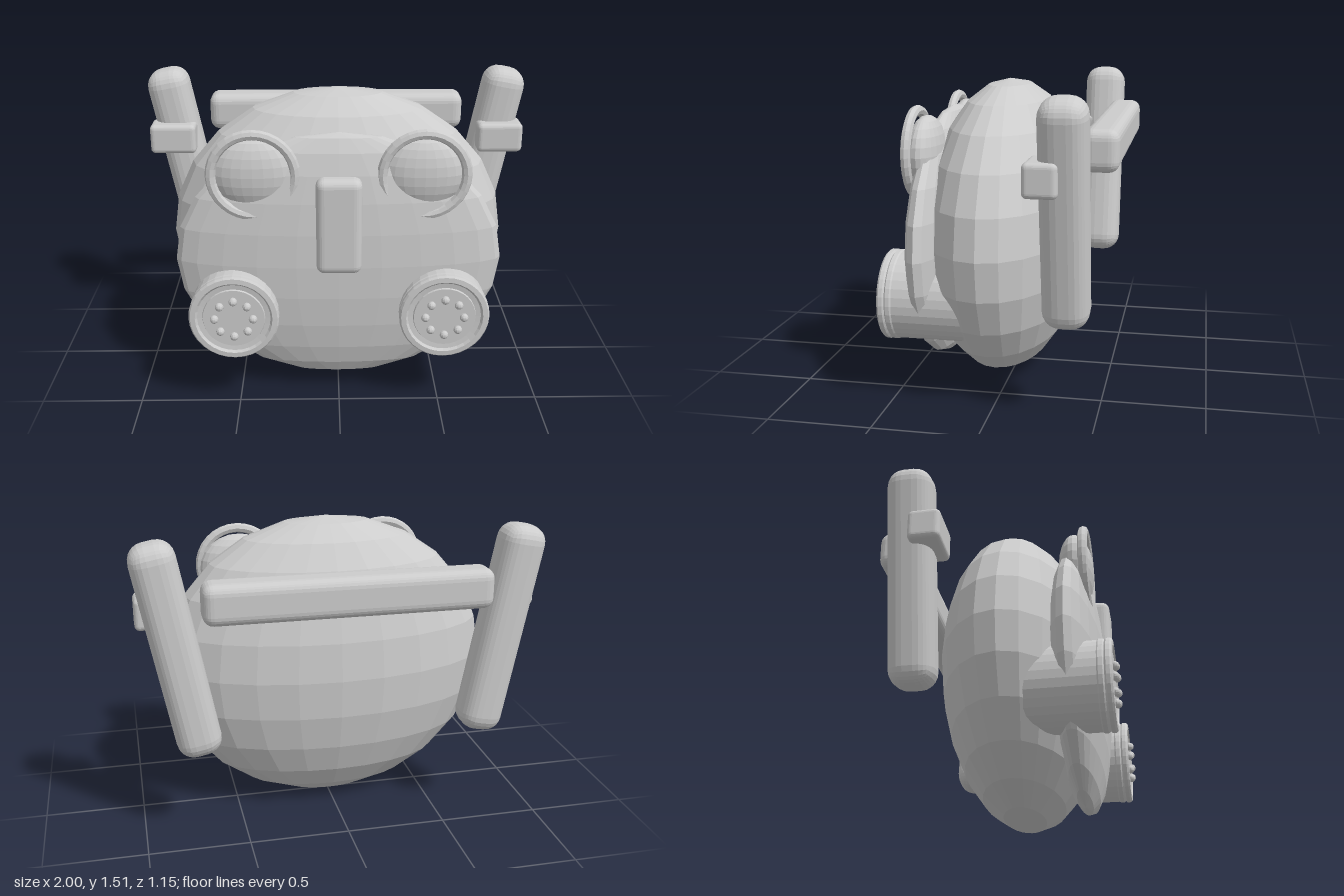
import * as THREE from 'three';
import { RoundedBoxGeometry } from 'three/addons/geometries/RoundedBoxGeometry.js';

export function createModel() {
  const model = new THREE.Group();
  const grey = new THREE.MeshStandardMaterial({ color: 0xcccccc, flatShading: true });
  grey.name = 'lightGrey';

  function add(name, geometry, x, y, z, parent = model) {
    const mesh = new THREE.Mesh(geometry, grey);
    mesh.name = name;
    mesh.position.set(x, y, z);
    parent.add(mesh);
    return mesh;
  }
  const ellipsoid = (rx, ry, rz, w = 24, h = 12) =>
    new THREE.SphereGeometry(1, w, h).scale(rx, ry, rz);
  const box = (w, h, d, r) => new RoundedBoxGeometry(w, h, d, 3, r);

  // Flattened body, thin face plate and nose bar
  add('body', ellipsoid(0.843, 0.755, 0.4), 0, 0.756, 0.045);
  add('facePlate', ellipsoid(0.8, 0.645, 0.138), 0, 0.725, 0.345);
  add('nose', box(0.22, 0.48, 0.12, 0.04), 0, 0.94, 0.45);

  // Stepped profile of a round pod: radius, then depth along its axis
  const podProfile = [
    [0, 0.1], [0.214, 0.1], [0.214, 0.48], [0.219, 0.487], [0.219, 0.507],
    [0.212, 0.514], [0.22, 0.522], [0.22, 0.54], [0.212, 0.55], [0.188, 0.552],
    [0.178, 0.54], [0.153, 0.537], [0.15, 0.546], [0, 0.546],
  ].map(([r, d]) => new THREE.Vector2(r, d));

  for (const s of [1, -1]) {
    const side = s > 0 ? 'left' : 'right';

    // Eye with its rim partly sunk into the plate
    add(side + 'Eye', ellipsoid(0.205, 0.18, 0.087), s * 0.405, 1.18, 0.376);
    add(side + 'EyeRim', new THREE.TorusGeometry(0.2, 0.025, 8, 32), s * 0.405, 1.182, 0.425);

    // Round pod with a ring of studs
    const pod = new THREE.Group();
    pod.name = side + 'Pod';
    pod.position.set(s * 0.512, 0.492, 0);
    model.add(pod);
    add('podShell', new THREE.LatheGeometry(podProfile, 32).rotateX(Math.PI / 2), 0, 0, 0, pod);
    for (let i = 0; i < 8; i++) {
      const a = (i / 8) * Math.PI * 2;
      add('stud', new THREE.SphereGeometry(0.021, 10, 8),
        0.094 * Math.cos(a), 0.094 * Math.sin(a), 0.554, pod);
    }

    // Leaning side post with its clip
    const post = add(side + 'Post', box(0.22, 1.075, 0.22, 0.085), s * 0.805, 0.98, -0.355);
    post.rotation.z = -s * 0.19;
    add(side + 'Clip', box(0.24, 0.155, 0.155, 0.025), s * 0.867, 1.162, -0.267);
  }

  // Cross bar behind the posts
  add('crossBar', box(1.38, 0.195, 0.17, 0.05), 0, 1.247, -0.49);

  return model;
}
